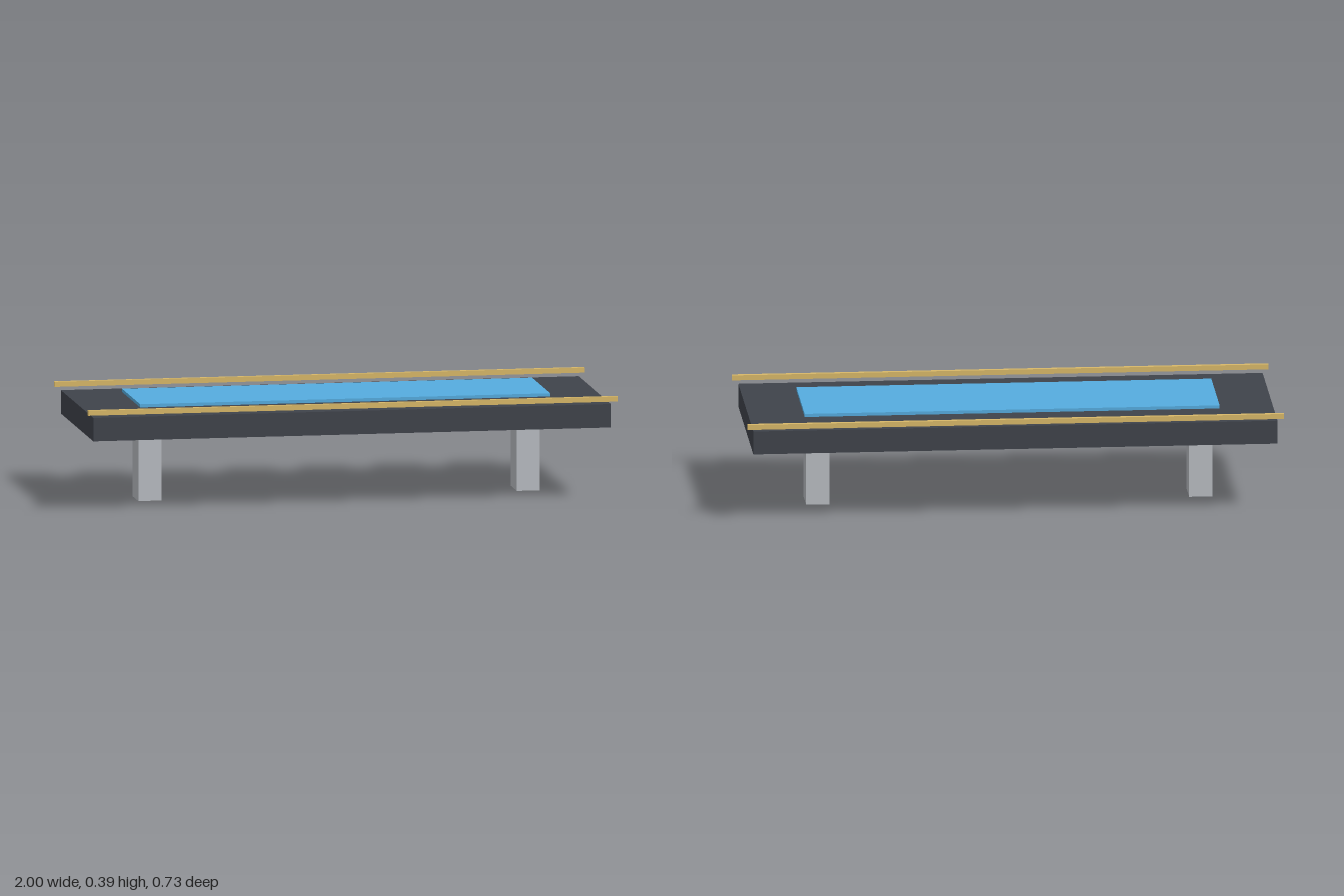
import * as THREE from 'three';

const paint = (color) => new THREE.MeshStandardMaterial({ color });

export function createModel() {
  const model = new THREE.Group();
  model.name = 'table';

  const slabPaint = paint(0x3f434b);
  const panelPaint = paint(0x55acdf);
  const railPaint = paint(0xd8b868);
  const legPaint = paint(0xb8bcc1);

  // Box resting on height y0, centred on (x, z)
  const addBox = (name, material, [w, h, d], x, y0, z) => {
    const mesh = new THREE.Mesh(new THREE.BoxGeometry(w, h, d), material);
    mesh.name = name;
    mesh.position.set(x, y0 + h / 2, z);
    model.add(mesh);
  };

  // Thick slab with a thin panel floating just above it
  addBox('slab', slabPaint, [1.954, 0.088, 0.692], 0, 0.273, 0);
  addBox('topPanel', panelPaint, [1.547, 0.012, 0.387], 0, 0.372, 0);

  // Mirrored pairs: legs left and right, rails front and back
  for (const s of [1, -1]) {
    addBox(s > 0 ? 'leftLeg' : 'rightLeg', legPaint, [0.087, 0.273, 0.128], s * 0.714, 0, 0);
    addBox(s > 0 ? 'frontRail' : 'backRail', railPaint, [2, 0.019, 0.016], 0, 0.373, s * 0.359);
  }

  return model;
}
